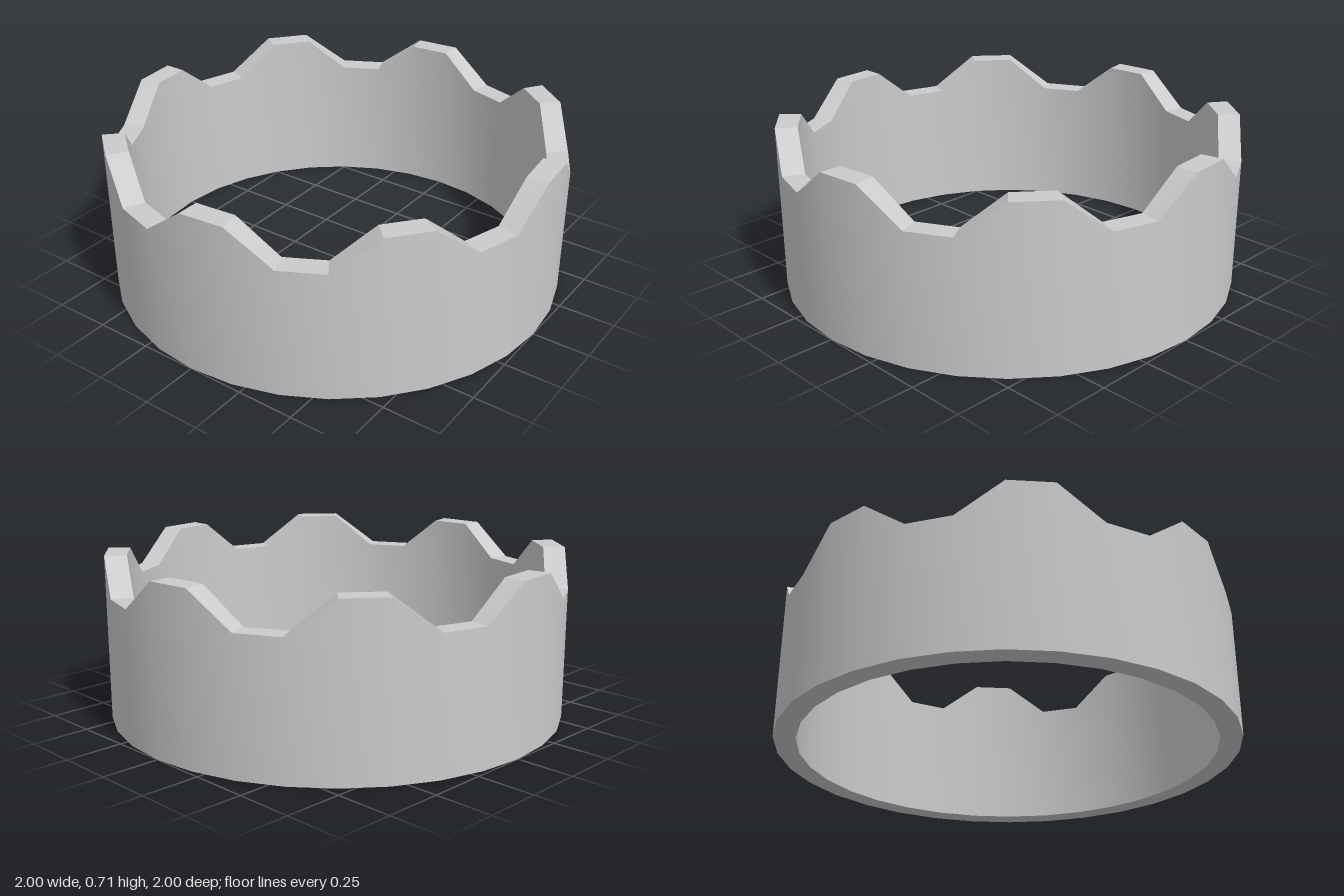
import * as THREE from 'three';
import { toCreasedNormals } from 'three/addons/utils/BufferGeometryUtils.js';

const SEGMENTS = 32;
const OUTER = 1, INNER = 0.905;
const HIGH = 0.715, LOW = 0.57;

export function createModel() {
  const group = new THREE.Group();
  group.name = 'crownRing';

  // Closed rectangular wall section, turned around the y axis
  const profile = [
    [OUTER, 0], [OUTER, HIGH], [INNER, HIGH], [INNER, 0], [OUTER, 0],
  ].map(([r, y]) => new THREE.Vector2(r, y));
  const geometry = new THREE.LatheGeometry(profile, SEGMENTS);

  // Eight teeth: along the rim, two stations high, then two low
  const pos = geometry.attributes.position;
  for (let i = 0; i < pos.count; i++) {
    const station = Math.floor(i / profile.length);
    if (pos.getY(i) > 0 && station % 4 >= 2) pos.setY(i, LOW);
  }

  // Smooth round walls, sharp rim and base edges
  const ring = new THREE.Mesh(
    toCreasedNormals(geometry, THREE.MathUtils.degToRad(25)),
    new THREE.MeshStandardMaterial({ color: 0xcccccc })
  );
  ring.name = 'toothedRing';
  group.add(ring);
  return group;
}
